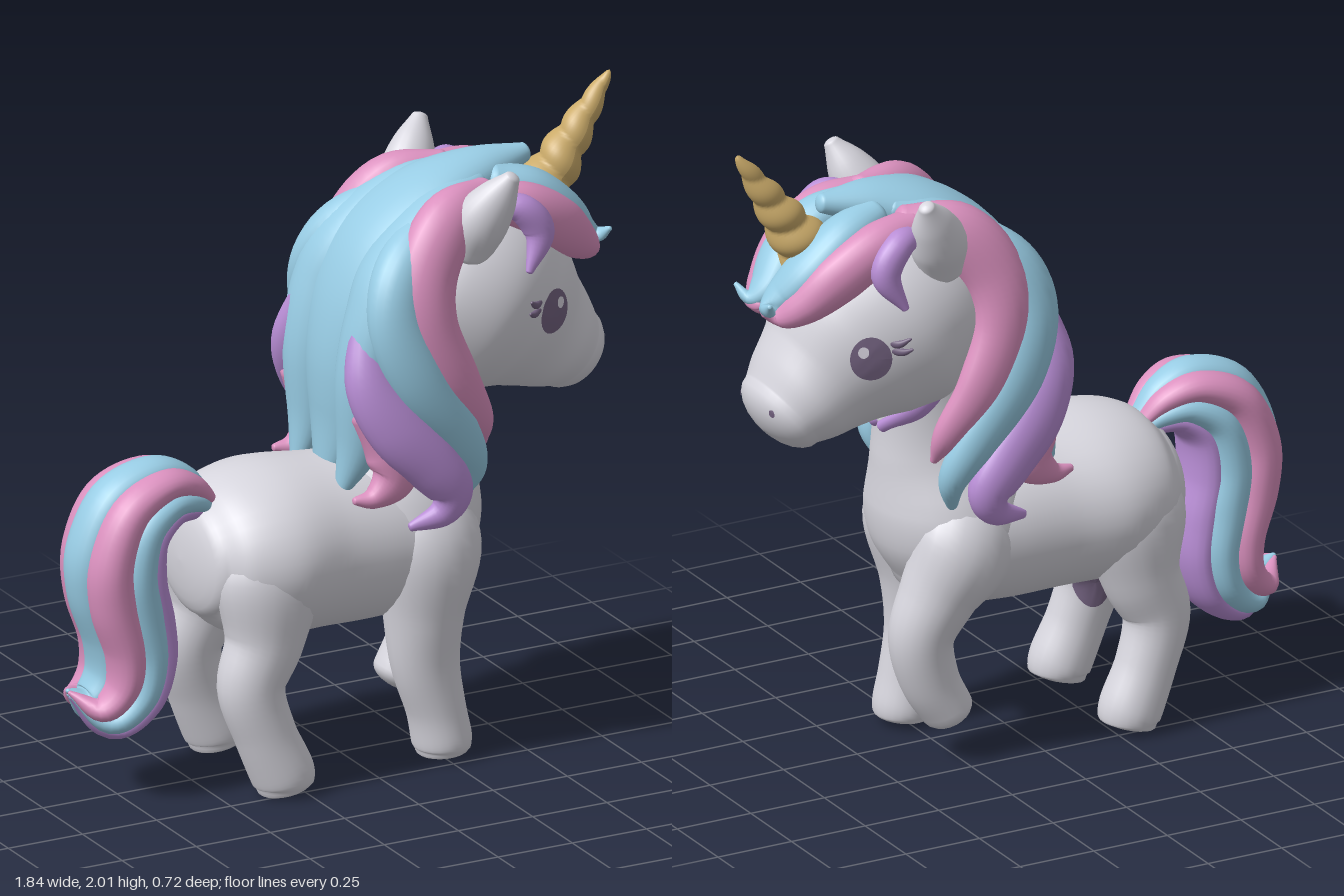
import * as THREE from 'three';

const mat = (name, color) => Object.assign(new THREE.MeshStandardMaterial({ color }), { name });

// Smooth loft through stations [x, y, z, halfWidth (sideways), halfDepth] with rounded ends
function loft(stations, cap = null, seg = 22, steps = 7) {
  const path = new THREE.CatmullRomCurve3(stations.map(s => new THREE.Vector3(s[0], s[1], s[2])), false, 'catmullrom', 0.5);
  const size = new THREE.CatmullRomCurve3(stations.map(s => new THREE.Vector3(s[3], s[4], 0)), false, 'catmullrom', 0.5);
  const n = (stations.length - 1) * steps, rings = [];
  for (let k = 0; k < 6; k++) rings.push([0, Math.cos((1 - k / 6) * Math.PI / 2), -Math.sin((1 - k / 6) * Math.PI / 2)]);
  for (let i = 0; i <= n; i++) rings.push([i / n, 1, 0]);
  for (let k = 1; k <= 6; k++) rings.push([1, Math.cos(k / 6 * Math.PI / 2), Math.sin(k / 6 * Math.PI / 2)]);
  const pos = [], idx = [];
  rings.forEach(([t, scale, push], i) => {
    const c = path.getPoint(t), r = size.getPoint(t), T = path.getTangent(t);
    const S = new THREE.Vector3(0, 0, 1).addScaledVector(T, -T.z).normalize();
    const N = new THREE.Vector3().crossVectors(T, S);
    const a = Math.max(r.x, 0.002), b = Math.max(r.y, 0.002);
    c.addScaledVector(T, push * (cap ?? 0.55 * Math.min(a, b)));
    for (let j = 0; j < seg; j++) {
      const w = j / seg * Math.PI * 2, p = c.clone();
      p.addScaledVector(S, a * scale * Math.cos(w)).addScaledVector(N, b * scale * Math.sin(w));
      pos.push(p.x, p.y, p.z);
      if (i < rings.length - 1) {
        const q = i * seg + j, q1 = i * seg + (j + 1) % seg;
        idx.push(q, q1, q + seg, q1, q1 + seg, q + seg);
      }
    }
  });
  const g = new THREE.BufferGeometry();
  g.setAttribute('position', new THREE.Float32BufferAttribute(pos, 3));
  g.setIndex(idx);
  g.computeVertexNormals();
  return g;
}

// Thin oval patch draped onto a target mesh, seen along direction n
function decal(target, center, n, w, h, lift) {
  const N = new THREE.Vector3(...n).normalize();
  const U = new THREE.Vector3(0, 1, 0).cross(N).normalize(), V = N.clone().cross(U);
  const g = new THREE.RingGeometry(0.001, 1, 28, 5), p = g.attributes.position, ray = new THREE.Raycaster();
  for (let i = 0; i < p.count; i++) {
    const o = new THREE.Vector3(...center).addScaledVector(U, p.getX(i) * w).addScaledVector(V, p.getY(i) * h);
    ray.set(o.clone().addScaledVector(N, 1), N.clone().negate());
    const hit = ray.intersectObject(target)[0];
    const q = (hit ? hit.point : o).clone().addScaledVector(N, lift);
    p.setXYZ(i, q.x, q.y, q.z);
  }
  g.computeVertexNormals();
  return g;
}

export function createModel() {
  const coat = mat('coat grey', 0xd6d5dd), pink = mat('pink hair', 0xdb91bf), blue = mat('blue hair', 0x98cce4);
  const purple = mat('purple hair', 0xb98ed6), gold = mat('horn gold', 0xcbab6a);
  const dark = mat('eye plum', 0x736280), glint = mat('eye glint', 0xd8d4e0);
  const root = new THREE.Group();
  root.name = 'unicorn';
  const add = (name, geo, m) => {
    const mesh = new THREE.Mesh(geo, m);
    mesh.name = name;
    root.add(mesh);
    return mesh;
  };
  const flip = st => st.map(([x, y, z, a, b]) => [x, y, -z, a, b]);
  const pair = (name, st, m, cap) => {
    add(name + 'Near', loft(st, cap), m);
    add(name + 'Far', loft(flip(st), cap), m);
  };

  // Body, neck with chest, and head
  add('body', loft([[-0.49, 0.7, 0, 0.21, 0.175], [-0.42, 0.7, 0, 0.28, 0.232], [-0.28, 0.7, 0, 0.318, 0.265],
    [-0.1, 0.69, 0, 0.285, 0.262], [0.08, 0.68, 0, 0.27, 0.255], [0.2, 0.67, 0, 0.255, 0.23],
    [0.27, 0.66, 0, 0.2, 0.18]], 0.05, 36), coat);
  add('neck', loft([[0.17, 0.565, 0, 0.22, 0.19], [0.19, 0.69, 0, 0.27, 0.238], [0.2, 0.82, 0, 0.25, 0.242],
    [0.23, 0.97, 0, 0.185, 0.208], [0.265, 1.13, 0, 0.16, 0.168], [0.3, 1.35, 0, 0.16, 0.16]], 0.11, 36), coat);
  const head = add('head', loft([[0.16, 1.51, 0, 0.18, 0.18], [0.25, 1.47, 0, 0.265, 0.27], [0.4, 1.41, 0, 0.305, 0.325],
    [0.53, 1.33, 0, 0.268, 0.288], [0.64, 1.245, 0, 0.21, 0.21], [0.71, 1.19, 0, 0.19, 0.167],
    [0.755, 1.155, 0, 0.165, 0.134]], 0.085, 40, 9), coat);
  pair('ear', [[0.325, 1.6, 0.2, 0.065, 0.075], [0.35, 1.69, 0.23, 0.078, 0.088], [0.388, 1.77, 0.262, 0.06, 0.067],
    [0.425, 1.84, 0.292, 0.024, 0.026]], coat);

  // Legs: hind pair, standing foreleg and raised foreleg, their tops sunk into the body
  const hind = [[-0.33, 0.8, 0.14, 0.1, 0.12], [-0.335, 0.66, 0.175, 0.13, 0.17], [-0.355, 0.48, 0.19, 0.11, 0.125],
    [-0.405, 0.34, 0.2, 0.095, 0.105], [-0.365, 0.19, 0.21, 0.09, 0.095], [-0.31, 0.06, 0.215, 0.096, 0.098],
    [-0.3, 0.015, 0.215, 0.085, 0.085]];
  const hindLeg = add('hindLegNear', loft(hind, 0.012), coat);
  add('hindLegFar', loft(flip(hind), 0.012), coat);
  add('forelegStanding', loft([[0.21, 0.84, 0.11, 0.1, 0.12], [0.21, 0.67, 0.165, 0.138, 0.165], [0.195, 0.46, 0.165, 0.118, 0.125],
    [0.2, 0.3, 0.165, 0.097, 0.106], [0.235, 0.15, 0.165, 0.092, 0.09], [0.255, 0.05, 0.165, 0.096, 0.09],
    [0.258, 0.015, 0.165, 0.085, 0.08]], 0.012), coat);
  add('forelegRaised', loft([[0.17, 0.82, -0.11, 0.1, 0.12], [0.23, 0.67, -0.165, 0.138, 0.16], [0.31, 0.53, -0.155, 0.12, 0.12],
    [0.362, 0.4, -0.145, 0.1, 0.1], [0.335, 0.26, -0.14, 0.092, 0.09], [0.275, 0.15, -0.14, 0.09, 0.08]], 0.045), coat);
  add('innerLegPatch', decal(hindLeg, [-0.37, 0.33, 0.15], [0, 0, -1], 0.055, 0.08, 0.004), dark);

  // Eyes, lashes and nostrils
  for (const s of [1, -1]) {
    const side = s > 0 ? 'Near' : 'Far', n = [0.68, 0, 0.73 * s];
    add('eye' + side, decal(head, [0.577, 1.372, 0.235 * s], n, 0.06, 0.07, 0.004), dark);
    add('eyeGlint' + side, decal(head, [0.59, 1.395, 0.22 * s], n, 0.016, 0.018, 0.007), glint);
    add('nostril' + side, decal(head, [0.82, 1.19, 0.095 * s], [1, 0, 0], 0.01, 0.012, 0.003), dark);
  }
  pair('upperLash', [[0.55, 1.43, 0.245, 0.01, 0.012], [0.515, 1.415, 0.278, 0.011, 0.013], [0.485, 1.435, 0.303, 0.004, 0.004]], dark);
  pair('lowerLash', [[0.54, 1.4, 0.255, 0.01, 0.012], [0.505, 1.39, 0.285, 0.01, 0.012], [0.48, 1.4, 0.305, 0.004, 0.004]], dark);

  // Horn with a spiral groove
  const hornGeo = new THREE.ConeGeometry(1, 1, 36, 70, true), hp = hornGeo.attributes.position;
  for (let i = 0; i < hp.count; i++) {
    const t = hp.getY(i) + 0.5, w = i % 37 / 36;
    const r = 0.097 * Math.sqrt(Math.max(0, 1 - t)) * (1 - 0.3 * t) * (0.8 + 0.24 * Math.abs(Math.sin(Math.PI * (4.5 * t + w))));
    hp.setXYZ(i, r * Math.sin(w * 2 * Math.PI), t * 0.45, r * Math.cos(w * 2 * Math.PI));
  }
  hornGeo.computeVertexNormals();
  hornGeo.applyQuaternion(new THREE.Quaternion().setFromUnitVectors(new THREE.Vector3(0, 1, 0),
    new THREE.Vector3(0.25, 0.37, 0).normalize()));
  add('horn', hornGeo.translate(0.658, 1.627, 0), gold);

  // Mane crest and the locks behind the neck
  add('maneCrest', loft([[0.62, 1.79, 0, 0.03, 0.03], [0.45, 1.76, 0, 0.1, 0.07], [0.28, 1.7, 0, 0.17, 0.09],
    [0.14, 1.59, 0, 0.2, 0.1], [0.06, 1.45, 0, 0.2, 0.1], [0.02, 1.27, 0, 0.17, 0.1], [0.01, 1.08, 0, 0.14, 0.09],
    [-0.05, 0.9, 0, 0.05, 0.03]], null, 28), blue);
  pair('maneBackLock', [[0.42, 1.76, 0.06, 0.05, 0.04], [0.26, 1.69, 0.11, 0.09, 0.075], [0.1, 1.56, 0.15, 0.12, 0.085],
    [0.03, 1.42, 0.17, 0.11, 0.085], [-0.005, 1.24, 0.165, 0.1, 0.085], [-0.015, 1.04, 0.155, 0.08, 0.07],
    [-0.075, 0.87, 0.14, 0.02, 0.015]], blue);
  pair('maneTuft', [[-0.02, 1.15, 0.22, 0.06, 0.06], [0.05, 1.03, 0.24, 0.065, 0.09], [0.045, 0.94, 0.25, 0.055, 0.075],
    [-0.02, 0.89, 0.255, 0.035, 0.035], [-0.085, 0.89, 0.255, 0.012, 0.012]], pink);

  // Side locks draped over the cheek and shoulder
  pair('manePinkLock', [[0.42, 1.74, 0.13, 0.05, 0.05], [0.265, 1.69, 0.185, 0.08, 0.095], [0.165, 1.55, 0.235, 0.078, 0.1],
    [0.16, 1.4, 0.27, 0.068, 0.09], [0.237, 1.22, 0.285, 0.055, 0.08], [0.33, 1.08, 0.255, 0.04, 0.05],
    [0.365, 0.99, 0.225, 0.01, 0.012]], pink);
  pair('maneBlueLock', [[0.24, 1.7, 0.12, 0.07, 0.05], [0.1, 1.57, 0.2, 0.08, 0.085], [0.06, 1.42, 0.255, 0.07, 0.095],
    [0.12, 1.24, 0.288, 0.065, 0.09], [0.245, 1.06, 0.285, 0.055, 0.07], [0.312, 0.93, 0.25, 0.045, 0.045],
    [0.29, 0.81, 0.205, 0.01, 0.012]], blue);
  pair('manePurpleLock', [[0.0, 1.4, 0.18, 0.05, 0.06], [-0.015, 1.24, 0.235, 0.065, 0.085], [0.05, 1.1, 0.28, 0.065, 0.095],
    [0.15, 0.98, 0.298, 0.062, 0.085], [0.215, 0.89, 0.3, 0.055, 0.07], [0.19, 0.82, 0.295, 0.04, 0.045],
    [0.09, 0.785, 0.28, 0.012, 0.014]], purple);

  // Fringe
  pair('fringePurple', [[0.42, 1.72, 0.2, 0.04, 0.03], [0.49, 1.71, 0.235, 0.045, 0.045], [0.54, 1.63, 0.25, 0.04, 0.047],
    [0.49, 1.525, 0.28, 0.01, 0.012]], purple);
  pair('fringePink', [[0.4, 1.73, 0.15, 0.06, 0.05], [0.53, 1.69, 0.17, 0.07, 0.075], [0.65, 1.61, 0.155, 0.07, 0.08],
    [0.74, 1.53, 0.105, 0.07, 0.06], [0.795, 1.49, 0.05, 0.055, 0.035], [0.835, 1.5, 0.035, 0.035, 0.02]], pink);
  pair('fringeBlue', [[0.48, 1.75, 0.06, 0.06, 0.05], [0.6, 1.71, 0.085, 0.075, 0.06], [0.71, 1.625, 0.075, 0.08, 0.055],
    [0.785, 1.545, 0.045, 0.06, 0.04], [0.835, 1.51, 0.06, 0.03, 0.022], [0.855, 1.54, 0.105, 0.007, 0.007]], blue);

  // Throat strands meeting under the jaw
  pair('throatStrand', [[0.28, 1.22, 0.155, 0.02, 0.03], [0.365, 1.12, 0.125, 0.022, 0.035], [0.425, 1.04, 0.02, 0.018, 0.022]], purple);

  // Tail: strands laid between an outer and an inner edge
  const outer = [[-0.44, 0.9], [-0.53, 1.0], [-0.65, 1.04], [-0.81, 0.98], [-0.9, 0.82], [-0.9, 0.68], [-0.85, 0.52],
    [-0.835, 0.42], [-0.87, 0.35], [-0.915, 0.355]];
  const inner = [[-0.44, 0.82], [-0.5, 0.83], [-0.57, 0.82], [-0.62, 0.75], [-0.615, 0.63], [-0.585, 0.5], [-0.58, 0.38],
    [-0.64, 0.25], [-0.77, 0.19], [-0.9, 0.32]];
  const spread = [0.35, 0.6, 0.8, 0.95, 1, 1, 1, 0.95, 0.75, 0.12];
  const strand = (f, half, z, a) => outer.map(([x, y], i) => {
    const [u, v] = inner[i], d = Math.hypot(u - x, v - y), k = spread[i];
    return [x + (u - x) * f, y + (v - y) * f, z * k, a * k, Math.max(0.008, half * d)];
  });
  add('tailOuter', loft(strand(0.17, 0.17, 0, 0.08), 0.01), blue);
  pair('tailPink', strand(0.3, 0.2, 0.08, 0.08), pink, 0.01);
  pair('tailBlue', strand(0.6, 0.19, 0.075, 0.075), blue, 0.01);
  add('tailInner', loft(strand(0.8, 0.2, 0, 0.115), 0.01), purple);
  return root;
}
